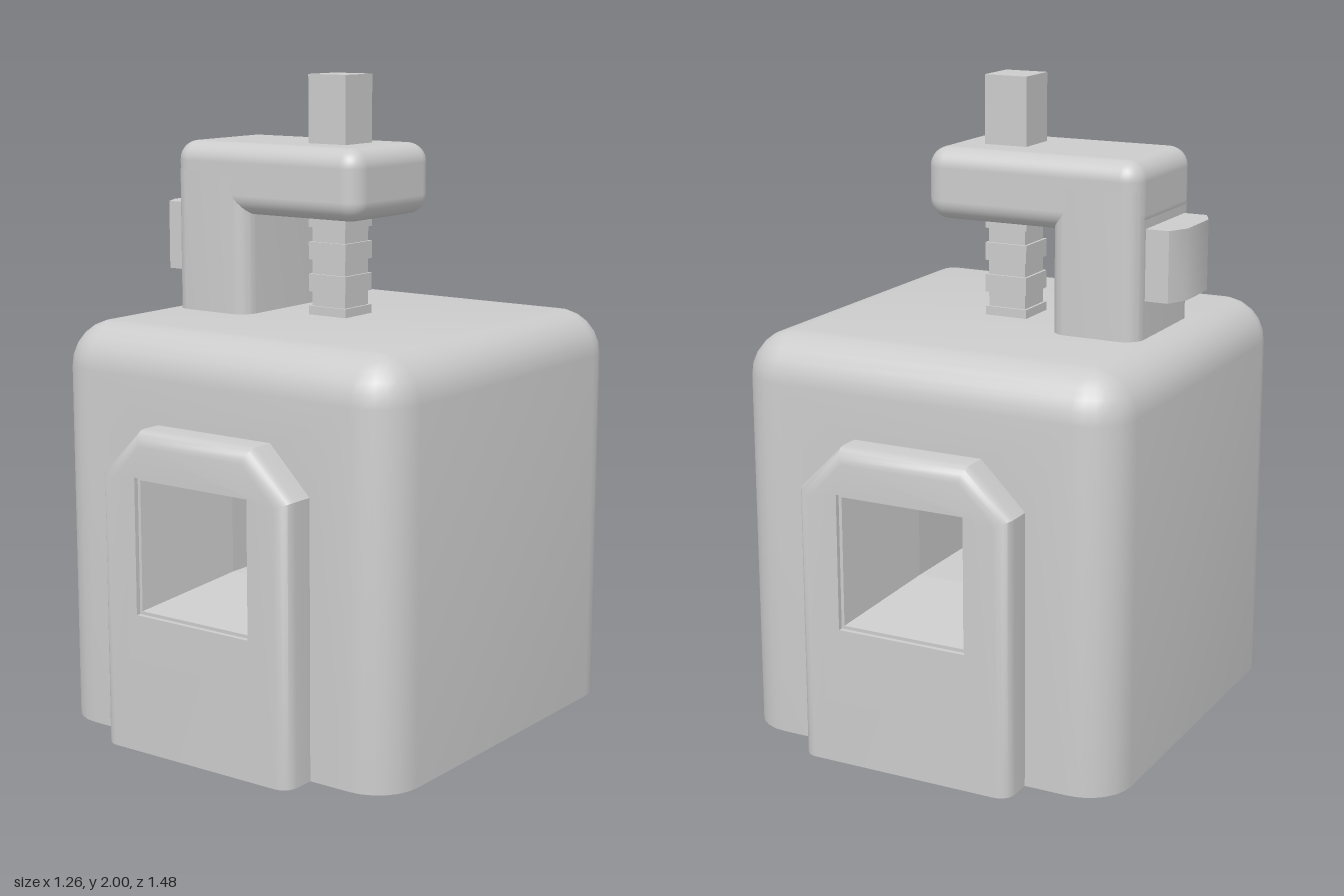
import * as THREE from 'three';
import { mergeGeometries, toCreasedNormals } from 'three/addons/utils/BufferGeometryUtils.js';
import { RoundedBoxGeometry } from 'three/addons/geometries/RoundedBoxGeometry.js';

const smooth = new THREE.MeshStandardMaterial({ color: 0xcccccc, side: THREE.DoubleSide });
const flat = new THREE.MeshStandardMaterial({ color: 0xcccccc, side: THREE.DoubleSide, flatShading: true });

const HALF = 0.63, HEIGHT = 1.26, R = 0.14, CORE = HALF - R;
const HOLE_Y = 0.637;

function mesh(name, geometry, material = smooth) {
  const m = new THREE.Mesh(geometry, material);
  m.name = name;
  return m;
}

function box(name, w, h, d, x, y, z) {
  const m = mesh(name, new THREE.BoxGeometry(w, h, d), flat);
  m.position.set(x, y, z);
  return m;
}

// Skin over rows of points; skip(row, column) leaves a quad open
function loft(rows, closed, skip = () => false) {
  const pos = [];
  const n = rows[0].length;
  for (let i = 0; i < rows.length - 1; i++) {
    for (let j = 0; j < (closed ? n : n - 1); j++) {
      if (skip(i, j)) continue;
      const k = (j + 1) % n;
      const a = rows[i][j], b = rows[i][k], c = rows[i + 1][k], d = rows[i + 1][j];
      pos.push(...a, ...b, ...c, ...a, ...c, ...d);
    }
  }
  const g = new THREE.BufferGeometry();
  g.setAttribute('position', new THREE.Float32BufferAttribute(pos, 3));
  g.computeVertexNormals();
  return g;
}

// Flat face without uv, ready to merge with a loft
function face(points, z, hole) {
  const shape = new THREE.Shape(points.map(([x, y]) => new THREE.Vector2(x, y)));
  if (hole) shape.holes.push(new THREE.Path(hole.map(([x, y]) => new THREE.Vector2(x, y))));
  const g = new THREE.ShapeGeometry(shape).toNonIndexed();
  g.deleteAttribute('uv');
  return g.translate(0, 0, z);
}

const merged = (parts, angle) => toCreasedNormals(mergeGeometries(parts), angle);

// Window frame outline, from bottom right over the top, inset by d
function frameOutline(d) {
  const m = 0.41 * d;
  const right = [[0.35 - d, 0], [0.35 - d, 0.845 - m], [0.21 - m, 0.985 - d]];
  return [...right, ...right.map(([x, y]) => [-x, y]).reverse()];
}

const square = (h) => [[-h, HOLE_Y - h], [h, HOLE_Y - h], [h, HOLE_Y + h], [-h, HOLE_Y + h]];

// Hollow rounded body, open below and behind the window frames
function bodyGeometry() {
  const STEPS = 6, perCorner = STEPS + 1;
  const ring = (r, y) => {
    const pts = [];
    for (let k = 0; k < 4; k++) {
      const cx = k < 2 ? CORE : -CORE, cz = k === 0 || k === 3 ? CORE : -CORE;
      for (let s = 0; s <= STEPS; s++) {
        const t = (k + s / STEPS) * Math.PI / 2;
        pts.push([cx + r * Math.sin(t), y, cz + r * Math.cos(t)]);
      }
    }
    return pts;
  };
  const rows = [ring(R, 0)];
  for (let s = 0; s <= STEPS; s++) {
    const p = s / STEPS * Math.PI / 2;
    rows.push(ring(R * Math.cos(p), HEIGHT - R + R * Math.sin(p)));
  }
  const shell = loft(rows, true, (i, j) => i === 0 && (j === 2 * perCorner - 1 || j === 4 * perCorner - 1));
  const top = HEIGHT - R;
  const panel = () => face([[CORE, 0], [CORE, top], [-CORE, top], [-CORE, 0], ...frameOutline(0).reverse()], HALF);
  const roof = face([[-CORE, -CORE], [CORE, -CORE], [CORE, CORE], [-CORE, CORE]], 0)
    .rotateX(-Math.PI / 2).translate(0, HEIGHT, 0);
  return merged([shell, panel(), panel().rotateY(Math.PI), roof], 0.6);
}

// Raised frame with a rounded front edge around the window
function frameGeometry() {
  const r = 0.045, z = 0.74;
  const rows = [frameOutline(0).map(([x, y]) => [x, y, HALF])];
  for (let s = 0; s <= 5; s++) {
    const p = s / 5 * Math.PI / 2;
    rows.push(frameOutline(r * (1 - Math.cos(p))).map(([x, y]) => [x, y, z - r + r * Math.sin(p)]));
  }
  return merged([loft(rows, false), face(frameOutline(r), z, square(0.21))], 0.6);
}

// Vertical prism from a plan outline in x and z
function prism(name, shape, y0, y1) {
  const g = new THREE.ExtrudeGeometry(shape, { depth: y1 - y0, bevelEnabled: false, curveSegments: 6 });
  g.rotateX(-Math.PI / 2).translate(0, y0, 0);
  return mesh(name, toCreasedNormals(g, 0.6));
}

function roundedRect(x0, x1, h, r) {
  const s = new THREE.Shape();
  s.absarc(x1 - r, h - r, r, 0, Math.PI / 2);
  s.absarc(x0 + r, h - r, r, Math.PI / 2, Math.PI);
  s.absarc(x0 + r, r - h, r, Math.PI, Math.PI * 1.5);
  s.absarc(x1 - r, r - h, r, Math.PI * 1.5, Math.PI * 2);
  s.closePath();
  return s;
}

export function createModel() {
  const model = new THREE.Group();
  model.name = 'clampedBlock';
  model.add(mesh('body', bodyGeometry()));

  // Window frames, front and back
  for (const [name, turn] of [['frontFrame', 0], ['backFrame', Math.PI]]) {
    const frame = mesh(name, frameGeometry());
    frame.rotation.y = turn;
    model.add(frame);
  }

  // Square tunnel through the body, flared towards both windows
  const half = [[0.74, 0.21], [0.725, 0.21], [0.725, 0.2], [0.35, 0.157]];
  const sections = [...half, ...half.map(([z, h]) => [-z, h]).reverse()];
  model.add(mesh('tunnel', loft(sections.map(([z, h]) => square(h).map(([x, y]) => [x, y, z])), true), flat));

  // Clamp: post, arm and side knob
  const clamp = new THREE.Group();
  clamp.name = 'clamp';
  clamp.add(prism('post', roundedRect(-0.497, -0.213, 0.208, 0.055), 1.24, 1.7));
  const arm = mesh('arm', new RoundedBoxGeometry(0.705, 0.22, 0.416, 5, 0.06));
  arm.position.set(-0.146, 1.68, 0);
  clamp.add(arm);
  const knob = new THREE.Shape([[-0.48, 0.145], [-0.57, 0.145], [-0.602, 0.08], [-0.602, -0.08], [-0.57, -0.145], [-0.48, -0.145]]
    .map(([x, z]) => new THREE.Vector2(x, z)));
  clamp.add(prism('knob', knob, 1.375, 1.59));
  model.add(clamp);

  // Square screw with raised threads
  const screw = new THREE.Group();
  screw.name = 'screw';
  screw.add(box('screwHead', 0.14, 0.36, 0.14, 0, 1.82, 0));
  screw.add(box('screwCore', 0.124, 0.4, 0.124, 0, 1.44, 0));
  for (let i = 0; i < 4; i++) screw.add(box('thread' + (i + 1), 0.14, 0.055, 0.14, 0, 1.26 + 0.1 * i, 0));
  model.add(screw);

  return model;
}
